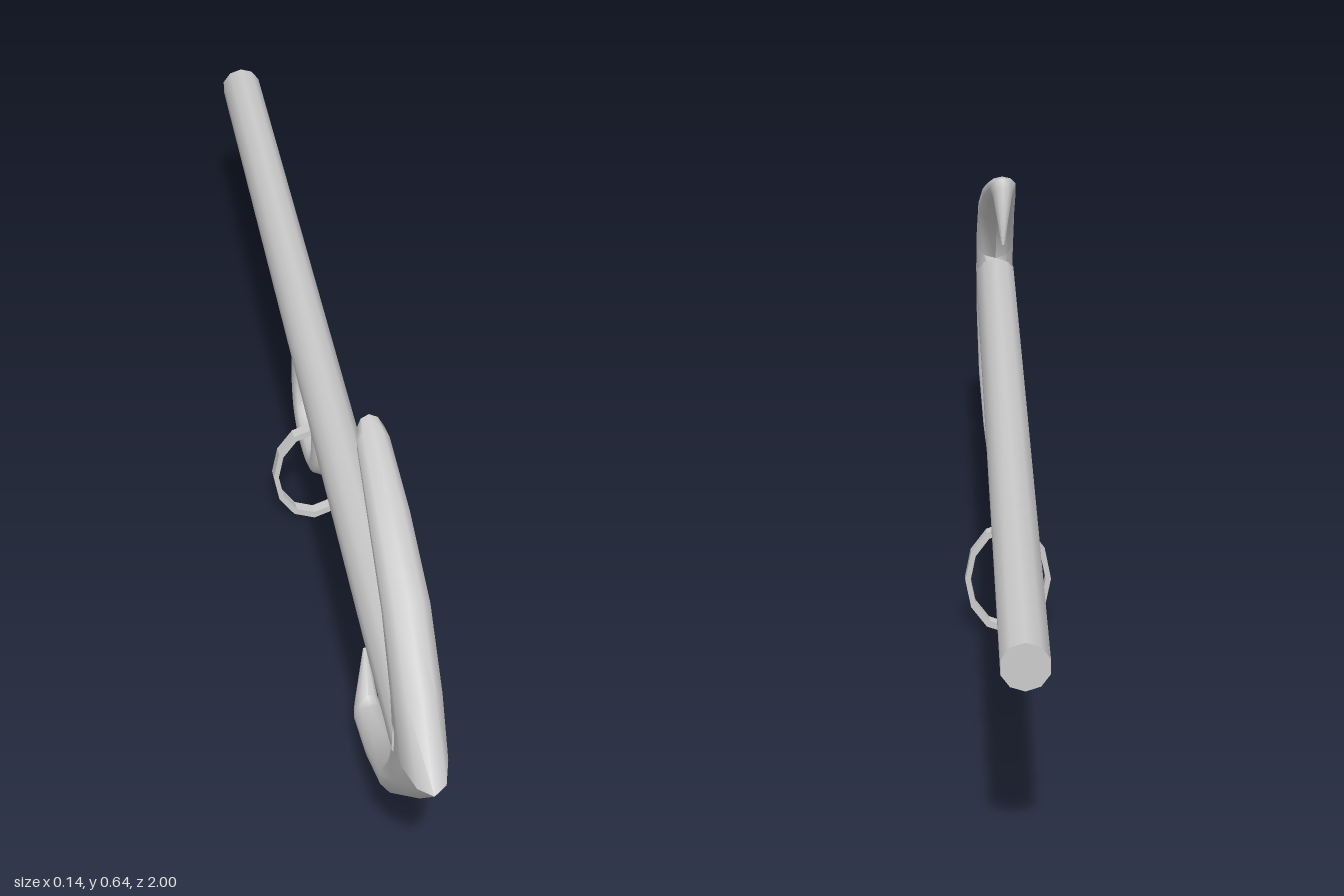
import * as THREE from 'three';
import { toCreasedNormals } from 'three/addons/utils/BufferGeometryUtils.js';

const MID_Y = 0.347;
const ARM_X = -0.016;
const material = new THREE.MeshStandardMaterial({ color: 0xcccccc });

function part(name, geometry) {
  const mesh = new THREE.Mesh(geometry, material);
  mesh.name = name;
  return mesh;
}

// Arm cross-sections: outer z, outer y, inner z, inner y, half width (y measured from the shank axis)
const ARM = [
  [1.0, 0, 0.80, 0, 0.036],
  [0.905, 0.095, 0.825, 0.05, 0.037],
  [0.80, 0.188, 0.765, 0.14, 0.036],
  [0.66, 0.25, 0.645, 0.205, 0.032],
  [0.525, 0.29, 0.535, 0.25, 0.026],
  [0.493, 0.295, 0.527, 0.25, 0.022],
  [0.483, 0.28, 0.517, 0.243, 0.018],
  [0.481, 0.173, 0.486, 0.173, 0.003],
];

// Loft of oval rings, ending in the inward-pointing barb
function armGeometry(side) {
  const n = 10, pos = [], idx = [];
  for (const [oz, oy, iz, iy, hw] of ARM) {
    for (let j = 0; j < n; j++) {
      const a = (j / n) * Math.PI * 2, c = Math.cos(a) / 2;
      pos.push(
        ARM_X + hw * Math.sin(a),
        MID_Y + side * ((oy + iy) / 2 + c * (oy - iy)),
        (oz + iz) / 2 + c * (oz - iz));
    }
  }
  const tri = (a, b, c) => (side > 0 ? idx.push(a, b, c) : idx.push(a, c, b));
  for (let i = 0; i < ARM.length - 1; i++) {
    for (let j = 0; j < n; j++) {
      const k = (j + 1) % n, a = i * n + j, b = i * n + k;
      tri(a, b, a + n);
      tri(b, b + n, a + n);
    }
  }
  const end = (ARM.length - 1) * n;
  for (let j = 1; j < n - 1; j++) tri(end, end + j, end + j + 1);
  const g = new THREE.BufferGeometry();
  g.setAttribute('position', new THREE.Float32BufferAttribute(pos, 3));
  g.setIndex(idx);
  return toCreasedNormals(g, 0.95);
}

// Tapered shank, slightly oval at the crown and drifting sideways to the tail
function shankGeometry() {
  const front = 0.88, back = -1, length = front - back;
  const g = new THREE.CylinderGeometry(0.051, 0.036, length, 10, 1);
  g.rotateX(Math.PI / 2);
  g.translate(0, 0, (front + back) / 2);
  const p = g.attributes.position;
  for (let i = 0; i < p.count; i++) {
    const t = (p.getZ(i) - back) / length;
    p.setX(i, p.getX(i) * (1 - 0.25 * t) + 0.017 - 0.034 * t);
    p.setY(i, p.getY(i) + MID_Y);
  }
  return toCreasedNormals(g, 0.9);
}

// U-shaped staple under the shank
function stapleGeometry() {
  const points = [
    [0.016, 0.34], [0.016, 0.28], [0.016, 0.22], [-0.003, 0.175], [-0.04, 0.154],
    [-0.125, 0.154], [-0.162, 0.175], [-0.181, 0.22], [-0.181, 0.28], [-0.181, 0.34],
  ].map(([z, y]) => new THREE.Vector3(0, y, z));
  const curve = new THREE.CatmullRomCurve3(points, false, 'centripetal');
  return new THREE.TubeGeometry(curve, 28, 0.021, 8);
}

// Flat twelve-sided oval ring
function ringGeometry() {
  const outline = (rx, ry) => Array.from({ length: 12 }, (_, i) => {
    const a = (i / 12) * Math.PI * 2;
    return new THREE.Vector2(rx * Math.cos(a), ry * Math.sin(a));
  });
  const shape = new THREE.Shape(outline(0.072, 0.098));
  shape.holes.push(new THREE.Path(outline(0.063, 0.086)));
  const g = new THREE.ExtrudeGeometry(shape, { depth: 0.02, bevelEnabled: false });
  g.translate(0, 0.098, -0.09);
  return g;
}

export function createModel() {
  const anchor = new THREE.Group();
  anchor.name = 'anchor';
  anchor.add(
    part('shank', shankGeometry()),
    part('upperArm', armGeometry(1)),
    part('lowerArm', armGeometry(-1)),
    part('staple', stapleGeometry()),
    part('ring', ringGeometry()));
  return anchor;
}
